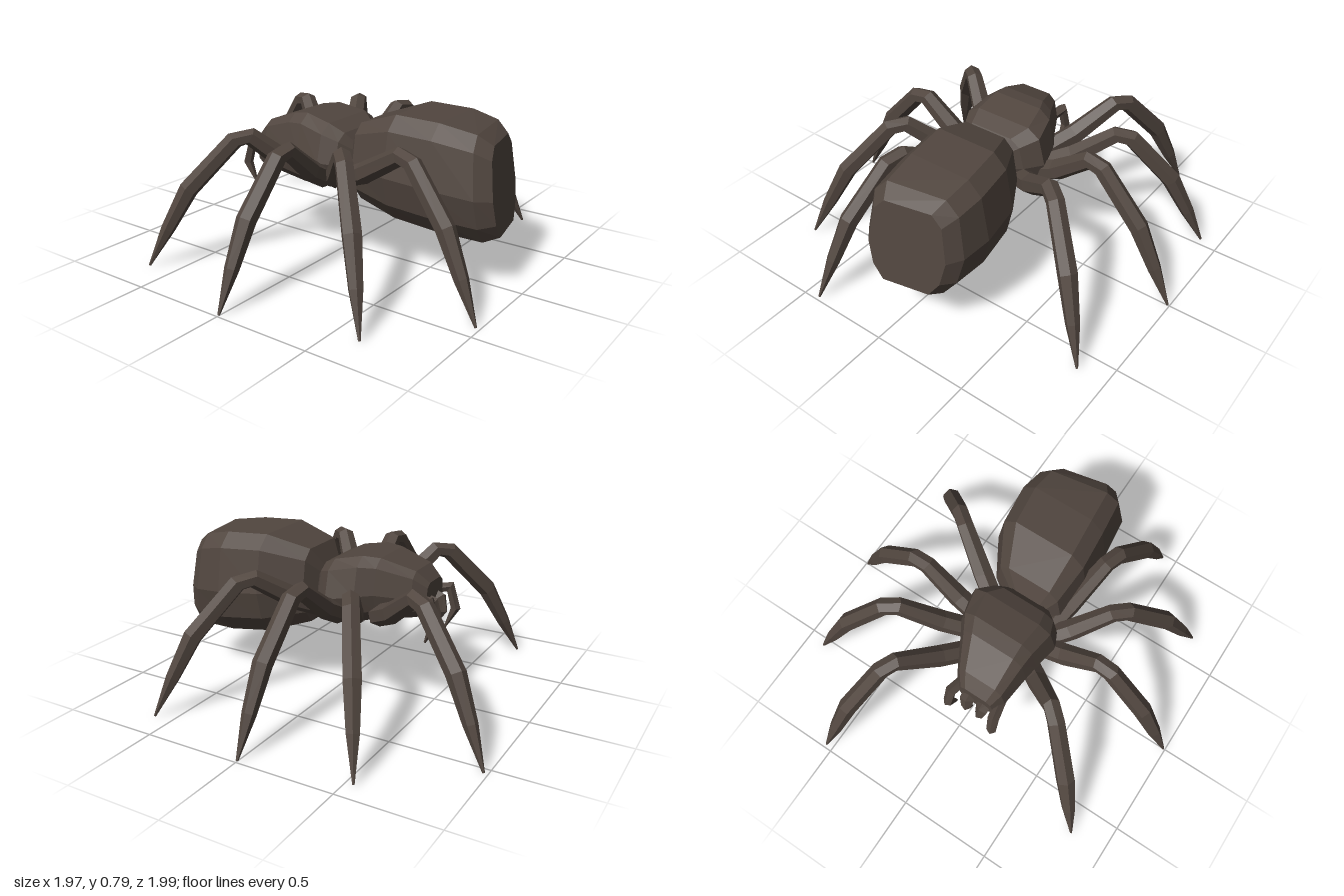
import * as THREE from 'three';

const V = (x, y, z) => new THREE.Vector3(x, y, z);

// Faceted, capped skin over a list of equal-sized rings.
function loft(rings) {
  const n = rings[0].length, pos = [];
  const tri = (...p) => p.forEach(q => pos.push(q.x, q.y, q.z));
  const centre = r => r.reduce((s, p) => s.add(p), V(0, 0, 0)).divideScalar(n);
  const last = rings[rings.length - 1], c0 = centre(rings[0]), c1 = centre(last);
  for (let i = 0; i < n; i++) {
    const j = (i + 1) % n;
    for (let k = 0; k + 1 < rings.length; k++) {
      const a = rings[k], b = rings[k + 1];
      tri(a[i], a[j], b[j]);
      tri(a[i], b[j], b[i]);
    }
    tri(c0, rings[0][j], rings[0][i]);
    tri(c1, last[i], last[j]);
  }
  const g = new THREE.BufferGeometry();
  g.setAttribute('position', new THREE.Float32BufferAttribute(pos, 3));
  g.computeVertexNormals();
  return g;
}

// Body shell: sections [x, yMin, yMax, zMin, zMax, lean] along x, with a chamfered outline.
const half = [[0.6, 1], [0.86, 0.74], [1, -0.1], [0.87, -0.66], [0.6, -1]];
const outline = [...half, ...half.map(([z, y]) => [-z, y]).reverse()];
function shell(sections) {
  return loft(sections.map(([x, y0, y1, z0, z1, lean = 0]) => outline.map(([z, y]) => {
    const dy = y * (y1 - y0) / 2, dz = z * (z1 - z0) / 2;
    return V(x + lean * (0.2 * dz - 0.13 * dy), (y0 + y1) / 2 + dy, (z0 + z1) / 2 + dz);
  })));
}

// Tapering jointed limb through points, with one radius per point.
function limb(points, radii, sides = 6) {
  const d = points[points.length - 1].clone().sub(points[0]);
  const side = V(-d.z, 0, d.x).normalize();
  return loft(points.map((p, i) => {
    const t = points[Math.min(i + 1, points.length - 1)].clone()
      .sub(points[Math.max(i - 1, 0)]).normalize();
    const up = side.clone().cross(t).normalize();
    return Array.from({ length: sides }, (_, k) => {
      const a = (k / sides) * Math.PI * 2;
      return p.clone().addScaledVector(up, radii[i] * Math.cos(a))
        .addScaledVector(side, radii[i] * Math.sin(a));
    });
  }));
}

export function createModel() {
  const model = new THREE.Group();
  model.name = 'spider';
  const brown = new THREE.MeshStandardMaterial({ color: 0x51463f });
  brown.name = 'dark brown';
  const add = (name, geometry) => {
    const m = new THREE.Mesh(geometry, brown);
    m.name = name;
    model.add(m);
  };

  // Large boxy abdomen, slightly swung to one side
  add('abdomen', shell([
    [0.10, 0.44, 0.60, -0.06, 0.13],
    [0.16, 0.34, 0.73, -0.19, 0.20],
    [0.36, 0.28, 0.80, -0.31, 0.23],
    [0.58, 0.255, 0.79, -0.34, 0.21],
    [0.77, 0.25, 0.76, -0.32, 0.18, 0.8],
    [0.84, 0.28, 0.71, -0.27, 0.12, 1],
  ]));

  // Head and thorax
  add('headAndThorax', shell([
    [-0.44, 0.45, 0.61, -0.01, 0.19],
    [-0.38, 0.43, 0.67, -0.06, 0.22],
    [-0.22, 0.42, 0.73, -0.15, 0.24],
    [-0.14, 0.40, 0.74, -0.20, 0.25],
    [0.00, 0.38, 0.71, -0.24, 0.27],
    [0.08, 0.40, 0.67, -0.17, 0.23],
    [0.14, 0.46, 0.60, -0.08, 0.15],
  ]));

  // Legs: hip x,z / knee x,z / foot x,z
  const legs = [
    [-0.22, -0.10, -0.54, -0.33, -0.98, -0.54],
    [-0.12, -0.16, -0.29, -0.49, -0.54, -0.90],
    [-0.04, -0.16, -0.02, -0.50, 0.00, -0.99],
    [0.05, -0.12, 0.28, -0.47, 0.60, -0.85],
    [0.06, 0.16, 0.50, 0.27, 0.98, 0.42],
    [0.04, 0.18, 0.28, 0.44, 0.64, 0.81],
    [0.00, 0.20, 0.01, 0.52, 0.00, 0.99],
    [-0.11, 0.18, -0.30, 0.44, -0.65, 0.81],
  ];
  legs.forEach(([hx, hz, kx, kz, fx, fz], i) => {
    const inner = (t, y) => V(hx + (kx - hx) * t, y, hz + (kz - hz) * t);
    const outer = (t, y) => V(kx + (fx - kx) * t, y, kz + (fz - kz) * t);
    add(`leg${i + 1}`, limb(
      [inner(0, 0.44), inner(0.4, 0.51), inner(0.95, 0.655), outer(0.12, 0.64),
        outer(0.58, 0.40), outer(0.8, 0.2), outer(1, 0.01)],
      [0.055, 0.055, 0.045, 0.045, 0.048, 0.035, 0.006]));
  });

  // Feelers and fangs, mirrored about the head's centre line
  for (const s of [-1, 1]) {
    const z = d => 0.09 + s * d;
    add('feeler', limb(
      [V(-0.36, 0.52, z(0.1)), V(-0.47, 0.54, z(0.125)), V(-0.50, 0.43, z(0.13)), V(-0.45, 0.32, z(0.12))],
      [0.03, 0.03, 0.026, 0.006], 5));
    add('fang', limb(
      [V(-0.38, 0.52, z(0.045)), V(-0.45, 0.50, z(0.045)), V(-0.47, 0.44, z(0.04)), V(-0.44, 0.37, z(0.03))],
      [0.04, 0.038, 0.026, 0.005], 5));
  }
  return model;
}
